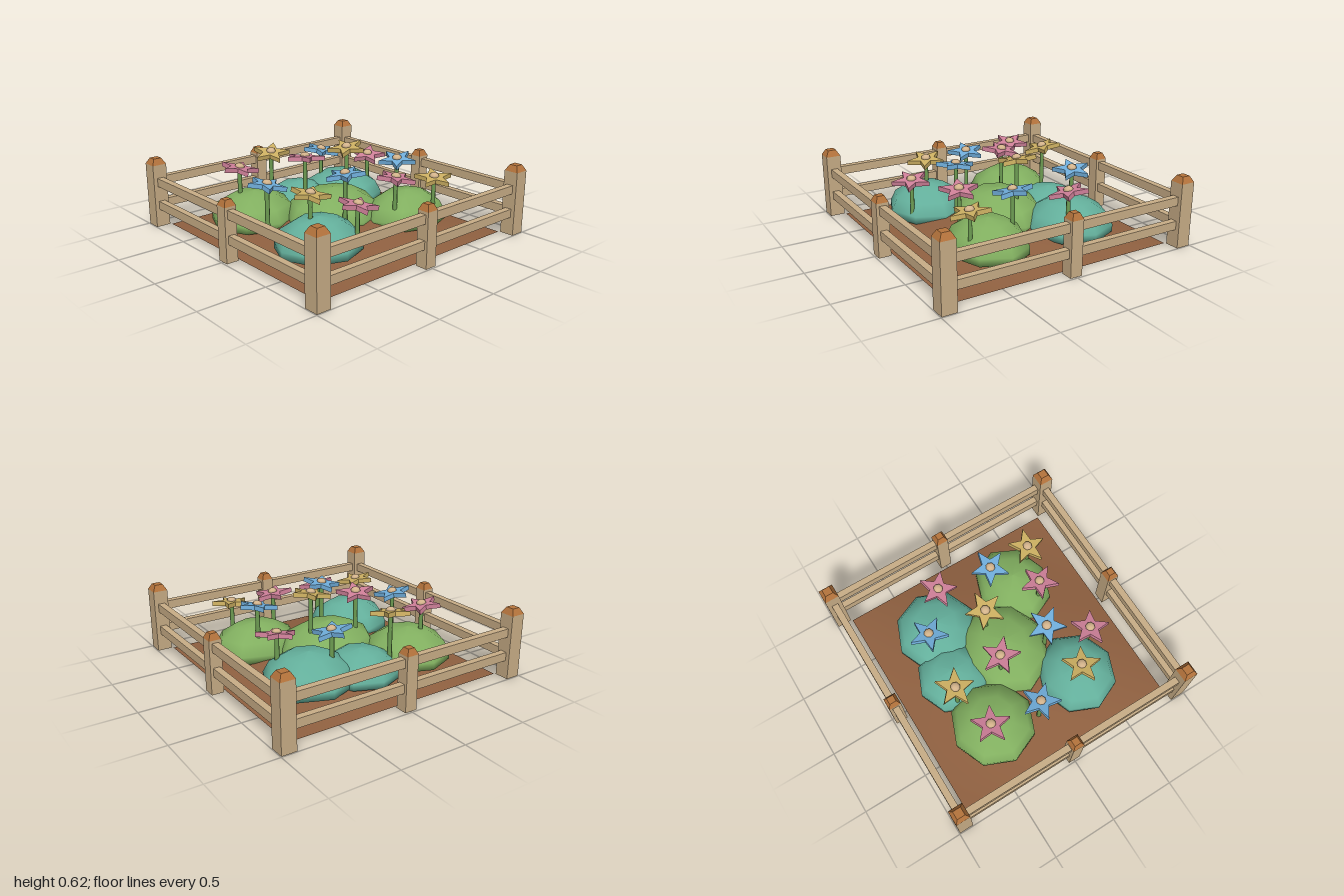
import * as THREE from 'three';

const paint = (name, color) => {
  const m = new THREE.MeshStandardMaterial({ color });
  m.name = name;
  return m;
};

export function createModel() {
  const model = new THREE.Group();
  model.name = 'fencedFlowerBed';
  const wood = paint('paleWood', 0xc8ad86);
  const capWood = paint('capWood', 0xb5743c);
  const soil = paint('soil', 0x8f6040);
  soil.side = THREE.DoubleSide;
  const green = paint('leafGreen', 0x82b060);
  const teal = paint('leafTeal', 0x64b09c);
  const stemGreen = paint('stemGreen', 0x6f9f54);
  const heart = paint('flowerHeart', 0xd4b48c);
  const petals = {
    pink: paint('petalPink', 0xcf8099),
    yellow: paint('petalYellow', 0xcdb062),
    blue: paint('petalBlue', 0x70aedb),
  };

  const add = (parent, name, geometry, material, x = 0, y = 0, z = 0) => {
    const mesh = new THREE.Mesh(geometry, material);
    mesh.name = name;
    mesh.position.set(x, y, z);
    parent.add(mesh);
    return mesh;
  };

  // Soil: a thin sheet swelling gently towards the middle
  const mound = (x, z) => 0.14 * Math.cos(x / 0.875 * Math.PI / 2) * Math.cos(z / 0.875 * Math.PI / 2);
  const soilGeo = new THREE.PlaneGeometry(1.75, 1.75, 14, 14).rotateX(-Math.PI / 2);
  const pos = soilGeo.attributes.position;
  for (let i = 0; i < pos.count; i++) pos.setY(i, mound(pos.getX(i), pos.getZ(i)));
  soilGeo.computeVertexNormals();
  add(model, 'soilMound', soilGeo, soil);

  // Fence posts with chamfered caps
  const fence = new THREE.Group();
  fence.name = 'fence';
  model.add(fence);
  const post = (x, z, width, height) => {
    add(fence, 'post', new THREE.BoxGeometry(width, height, width), wood, x, height / 2, z);
    const cap = new THREE.CylinderGeometry(width * 0.39, width * Math.SQRT1_2, 0.045, 4)
      .rotateY(Math.PI / 4).toNonIndexed();
    cap.computeVertexNormals();
    add(fence, 'postCap', cap, capWood, x, height + 0.0225, z);
  };
  const E = 0.94;
  for (const s of [-1, 1]) {
    for (const t of [-1, 1]) post(s * E, t * E, 0.11, 0.48);
    post(s * E, 0, 0.092, 0.4);
    post(0, s * E, 0.092, 0.4);
    // Two rails on each side
    for (const y of [0.167, 0.348]) {
      add(fence, 'rail', new THREE.BoxGeometry(1.78, 0.064, 0.05), wood, 0, y, s * E);
      add(fence, 'rail', new THREE.BoxGeometry(0.05, 0.064, 1.78), wood, s * E, y, 0);
    }
  }

  // Bushes: eight-sided domes with a shallow underside
  const profile = [[0, 0.02], [0.6, 0.035], [1, 0.07], [1, 0.125], [0.86, 0.21], [0.5, 0.28], [0, 0.305]]
    .map(([r, y]) => new THREE.Vector2(r, y));
  const bushGeo = new THREE.LatheGeometry(profile, 8);
  const bushes = [
    [-0.45, -0.38, 0.325, 0.315, 1, green],
    [0.02, -0.44, 0.28, 0.28, 0.88, teal],
    [0.4, -0.36, 0.33, 0.32, 1, teal],
    [0, 0, 0.385, 0.335, 1.07, green],
    [-0.45, 0.365, 0.315, 0.295, 1, teal],
    [0.42, 0.34, 0.33, 0.28, 1, green],
  ];
  for (const [x, z, rx, rz, sy, material] of bushes) {
    add(model, 'bush', bushGeo, material, x, 0, z).scale.set(rx, sy, rz);
  }

  // Flowers: thick five-pointed stars on straight stems
  const star = new THREE.Shape();
  for (let i = 0; i < 10; i++) {
    const r = i % 2 ? 0.063 : 0.146;
    const a = i * Math.PI / 5;
    star[i ? 'lineTo' : 'moveTo'](r * Math.cos(a), r * Math.sin(a));
  }
  star.closePath();
  const starGeo = new THREE.ExtrudeGeometry(star, { depth: 0.034, bevelEnabled: false })
    .translate(0, 0, -0.017).rotateX(-Math.PI / 2);
  const heartGeo = new THREE.SphereGeometry(0.036, 8, 6);

  // x, height, z, colour, direction of one point, tilt about x, tilt about z
  const flowers = [
    [-0.53, 0.47, -0.44, 'pink', 45, 0.1, -0.15],
    [-0.18, 0.51, -0.52, 'yellow', 118, 0.2, 0.1],
    [0.28, 0.46, -0.47, 'blue', 90, 0.1, -0.15],
    [0.57, 0.42, -0.23, 'pink', 36, 0.18, 0.12],
    [-0.16, 0.55, -0.13, 'pink', 30, -0.1, -0.1],
    [0.18, 0.58, -0.05, 'yellow', 0, 0.05, 0.16],
    [-0.57, 0.445, -0.05, 'blue', 97, 0.1, -0.15],
    [-0.5, 0.46, 0.34, 'yellow', 113, 0.1, -0.12],
    [-0.13, 0.51, 0.28, 'blue', 90, -0.1, 0.1],
    [-0.28, 0.395, 0.57, 'pink', 110, 0.1, -0.14],
    [0.21, 0.45, 0.44, 'pink', 85, 0.08, -0.12],
    [0.49, 0.48, 0.18, 'blue', 80, 0.1, 0.16],
    [0.52, 0.41, 0.53, 'yellow', -90, 0.12, 0.08],
  ];
  for (const [x, y, z, colour, turn, tiltX, tiltZ] of flowers) {
    const flower = new THREE.Group();
    flower.name = 'flower';
    const foot = mound(x, z);
    add(flower, 'stem', new THREE.CylinderGeometry(0.016, 0.018, y - foot, 6), stemGreen, x, (y + foot) / 2, z);
    const head = new THREE.Group();
    head.name = 'flowerHead';
    head.position.set(x, y, z);
    head.rotation.set(tiltX, 0, tiltZ);
    add(head, 'petals', starGeo, petals[colour]).rotation.y = turn * Math.PI / 180;
    add(head, 'flowerCentre', heartGeo, heart, 0, 0.02, 0).scale.y = 0.7;
    flower.add(head);
    model.add(flower);
  }
  return model;
}
